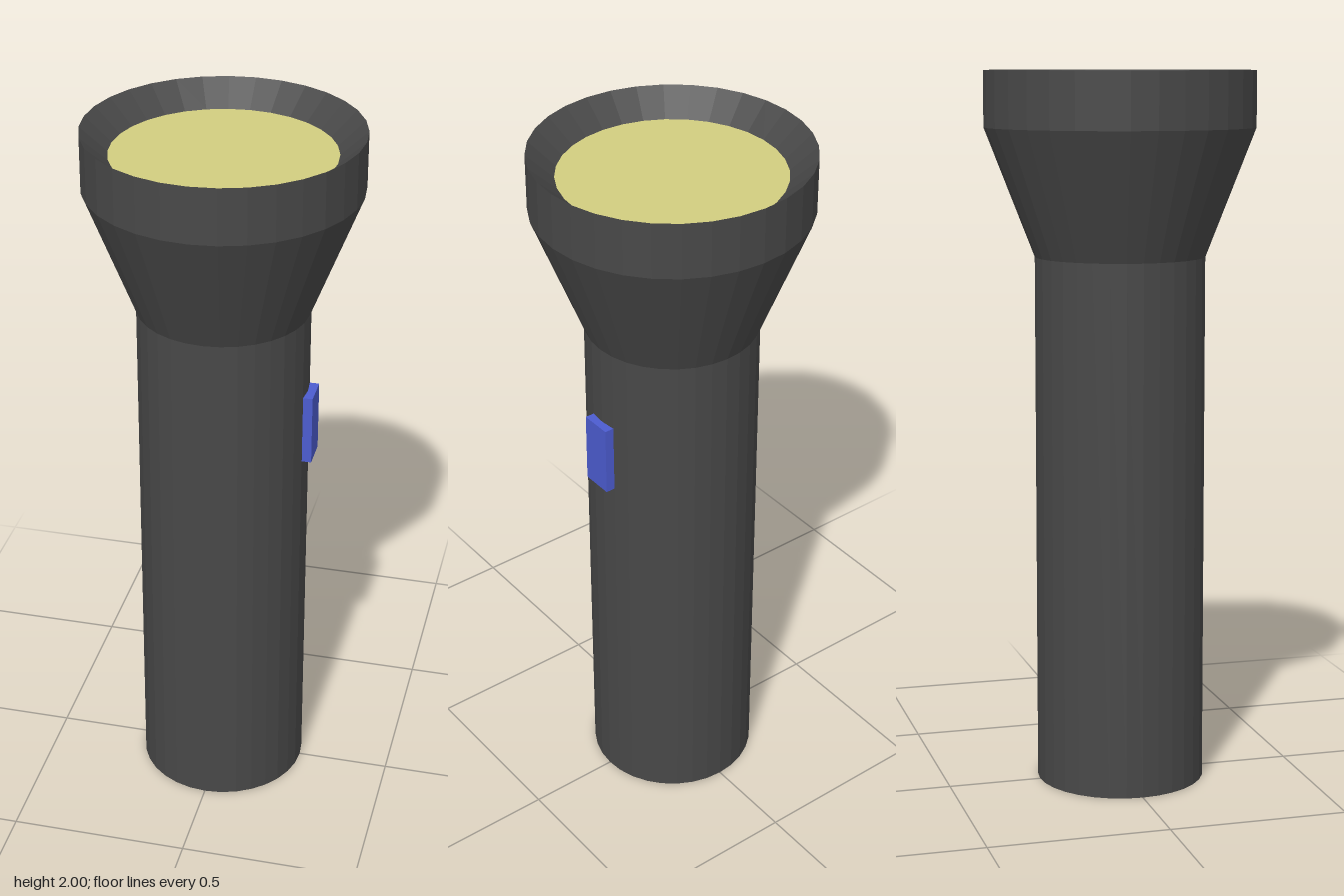
import * as THREE from 'three';

const SIDES = 32;

function addPart(group, name, geometry, color) {
  const material = new THREE.MeshStandardMaterial({ color });
  material.flatShading = true;
  const mesh = new THREE.Mesh(geometry, material);
  mesh.name = name;
  group.add(mesh);
  return mesh;
}

export function createModel() {
  const group = new THREE.Group();
  group.name = 'flashlight';

  // Closed base, straight grip, flared head, rim and the sloping inner reflector
  const profile = [
    [0, 0], [0.237, 0], [0.237, 1.49], [0.375, 1.845], [0.375, 2], [0.302, 1.934],
  ].map(([r, y]) => new THREE.Vector2(r, y));
  addPart(group, 'body', new THREE.LatheGeometry(profile, SIDES), 0x484848);

  // Flat lens closing the reflector
  const lens = addPart(group, 'lens', new THREE.CircleGeometry(0.302, SIDES), 0xd2cd80);
  lens.rotation.x = -Math.PI / 2;
  lens.position.y = 1.934;

  // Switch on the left side of the grip
  const button = addPart(group, 'switch', new THREE.BoxGeometry(0.04, 0.2, 0.09), 0x4c5cd0);
  button.position.set(0.239, 1.16, 0);

  return group;
}
